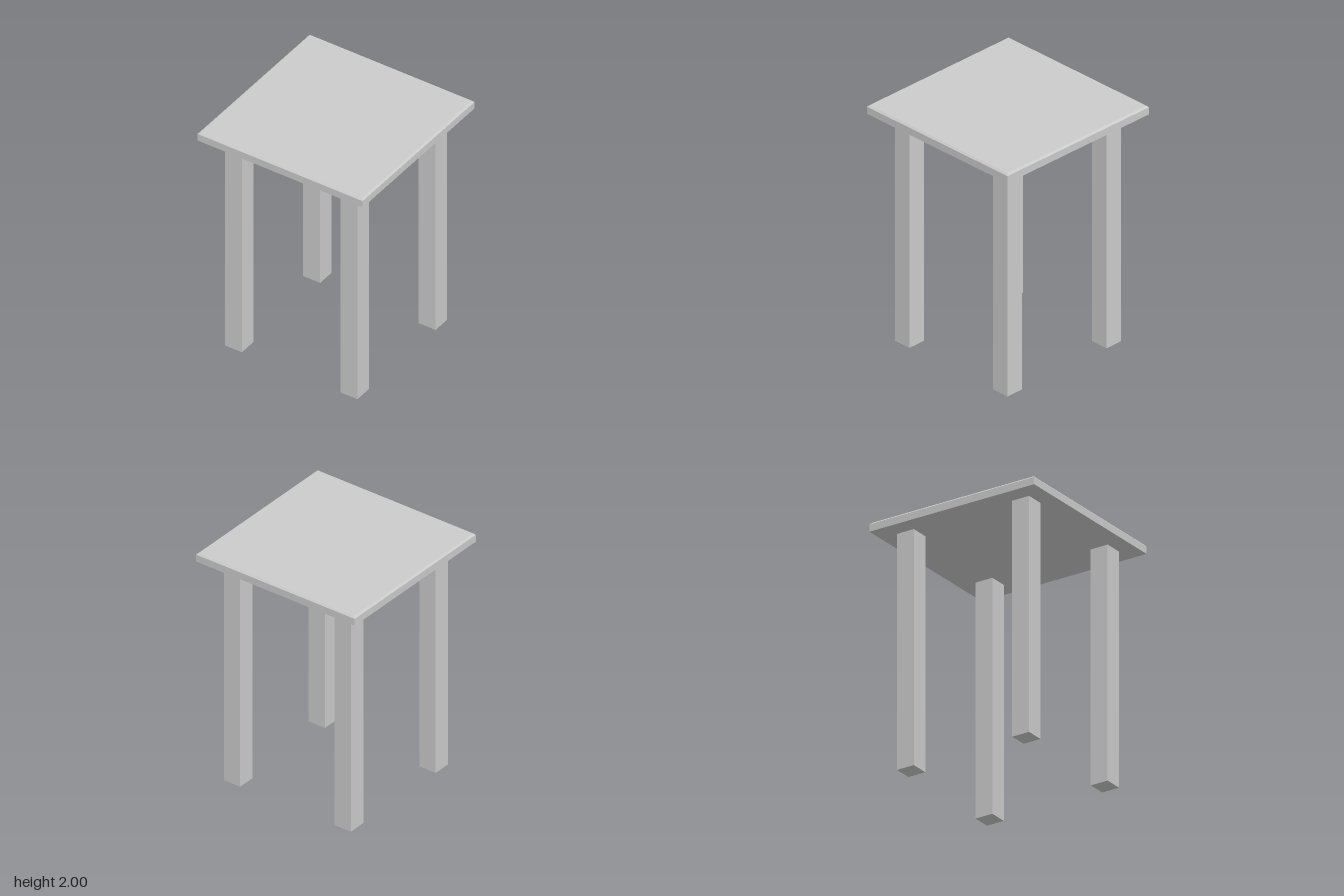
import * as THREE from 'three';

const HALF = 0.738;      // half width of the top
const UNDER = 1.926;     // underside of the top
const BEVEL = 0.014;     // chamfer around the upper rim
const LEG = 0.151;       // leg thickness
const LEG_AT = 0.516;    // leg centre offset

export function createModel() {
  const group = new THREE.Group();
  group.name = 'table';
  const material = new THREE.MeshStandardMaterial({ color: 0xcccccc, flatShading: true });

  // Square top: a box with one extra ring, its upper ring drawn in as a chamfer
  const topGeometry = new THREE.BoxGeometry(2 * HALF, 2, 2 * HALF, 1, 2, 1);
  const pos = topGeometry.attributes.position;
  const heights = [UNDER, 2 - BEVEL, 2];
  for (let i = 0; i < pos.count; i++) {
    const ring = Math.round(pos.getY(i)) + 1;
    const half = ring === 2 ? HALF - BEVEL : HALF;
    pos.setXYZ(i, Math.sign(pos.getX(i)) * half, heights[ring], Math.sign(pos.getZ(i)) * half);
  }
  topGeometry.computeVertexNormals();
  const top = new THREE.Mesh(topGeometry, material);
  top.name = 'tableTop';
  group.add(top);

  // Four straight square legs
  const legGeometry = new THREE.BoxGeometry(LEG, UNDER, LEG);
  for (const [zName, z] of [['front', 1], ['back', -1]]) {
    for (const [xName, x] of [['Left', 1], ['Right', -1]]) {
      const leg = new THREE.Mesh(legGeometry, material);
      leg.name = `${zName}${xName}Leg`;
      leg.position.set(x * LEG_AT, UNDER / 2, z * LEG_AT);
      group.add(leg);
    }
  }
  return group;
}
